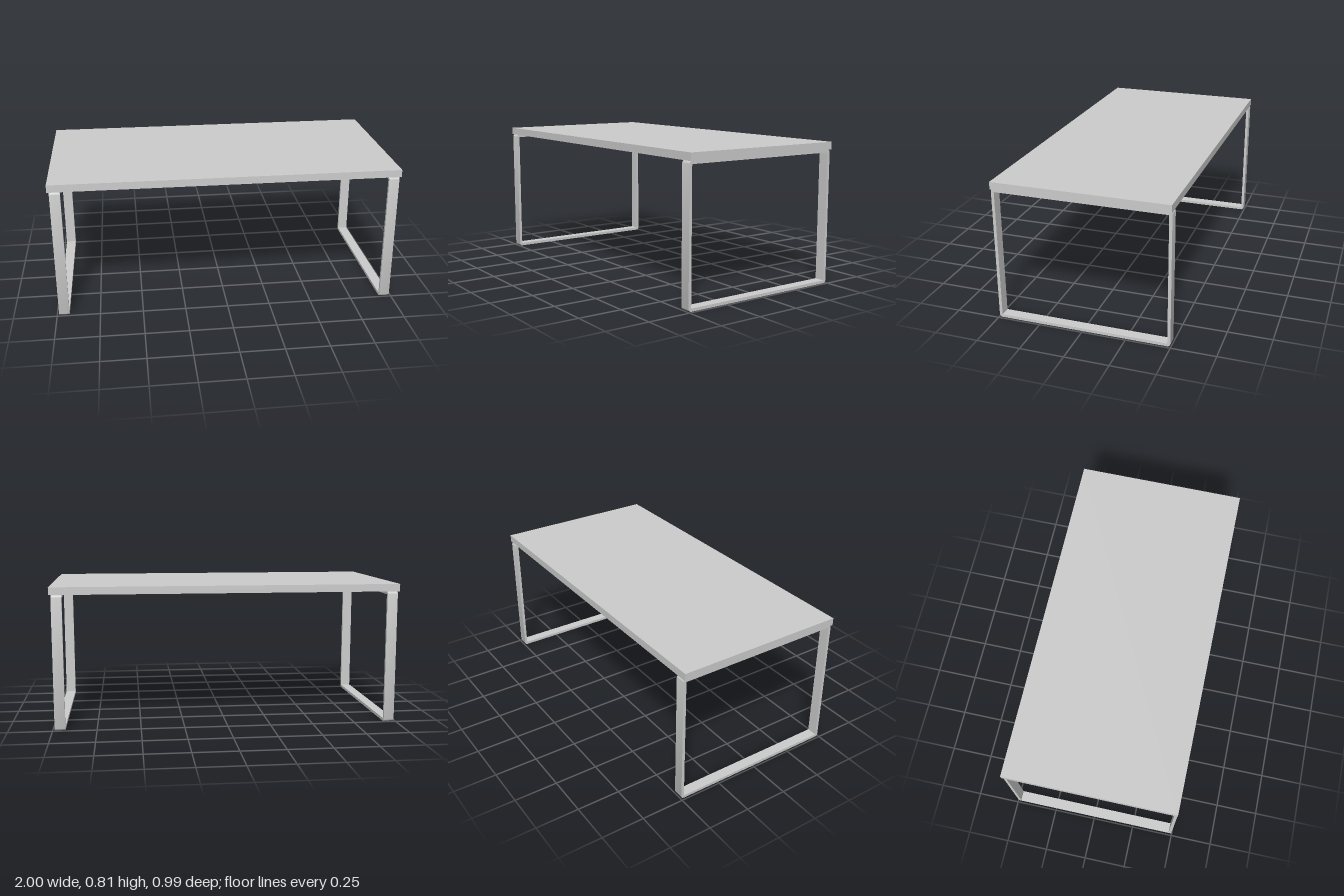
import * as THREE from 'three';
import { toCreasedNormals } from 'three/addons/utils/BufferGeometryUtils.js';

const HALF_DEPTH = 0.497;
const FRAME_TOP = 0.772;
const TOP_HEIGHT = 0.815;
const BAR = 0.017;
const BAR_WIDTH = 0.06;
const RADIUS = 0.018;

// Closed loop leg: rounded outside, square opening, drawn in the depth/height plane
function frameGeometry() {
  const w = HALF_DEPTH, h = FRAME_TOP, r = RADIUS;
  const shape = new THREE.Shape();
  shape.moveTo(-w + r, 0);
  shape.lineTo(w - r, 0);
  shape.absarc(w - r, r, r, -Math.PI / 2, 0);
  shape.lineTo(w, h - r);
  shape.absarc(w - r, h - r, r, 0, Math.PI / 2);
  shape.lineTo(-w + r, h);
  shape.absarc(-w + r, h - r, r, Math.PI / 2, Math.PI);
  shape.lineTo(-w, r);
  shape.absarc(-w + r, r, r, Math.PI, Math.PI * 1.5);

  const iw = w - BAR;
  shape.holes.push(new THREE.Path([
    new THREE.Vector2(-iw, BAR),
    new THREE.Vector2(-iw, h - BAR),
    new THREE.Vector2(iw, h - BAR),
    new THREE.Vector2(iw, BAR),
  ]));

  const geometry = new THREE.ExtrudeGeometry(shape, {
    depth: BAR_WIDTH, bevelEnabled: false, curveSegments: 6,
  });
  geometry.translate(0, 0, -BAR_WIDTH / 2);
  geometry.rotateY(Math.PI / 2);
  return toCreasedNormals(geometry, Math.PI / 6);
}

export function createModel() {
  const grey = new THREE.MeshStandardMaterial({ color: 0xcccccc });
  grey.name = 'light grey';

  const table = new THREE.Group();
  table.name = 'table';

  // Tabletop slab
  const thickness = TOP_HEIGHT - FRAME_TOP;
  const top = new THREE.Mesh(new THREE.BoxGeometry(2, thickness, HALF_DEPTH * 2), grey);
  top.name = 'tabletop';
  top.position.y = FRAME_TOP + thickness / 2;
  table.add(top);

  // One loop leg at each end
  const geometry = frameGeometry();
  for (const [name, side] of [['leftLegFrame', 1], ['rightLegFrame', -1]]) {
    const leg = new THREE.Mesh(geometry, grey);
    leg.name = name;
    leg.position.x = side * 0.958;
    table.add(leg);
  }
  return table;
}
